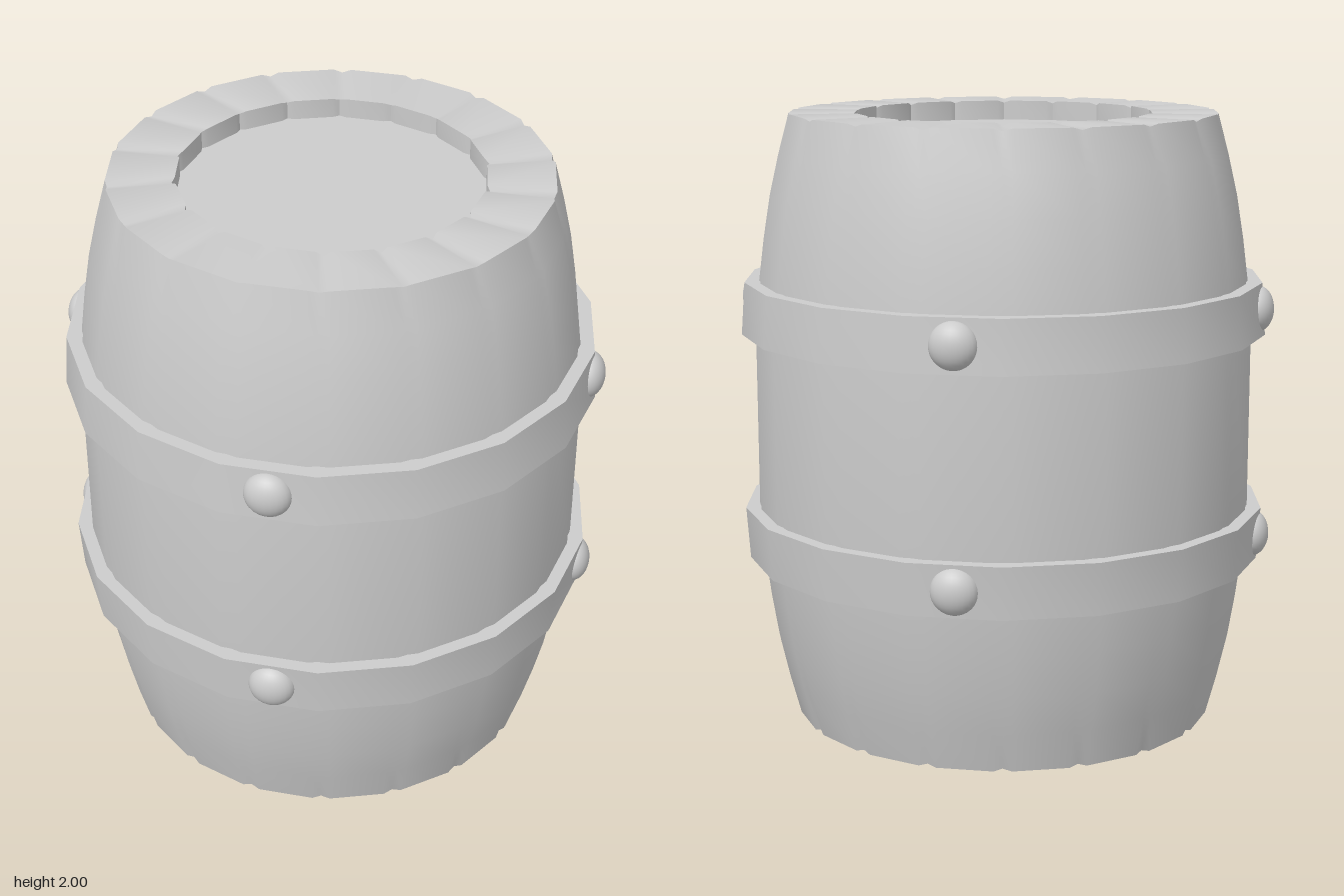
import * as THREE from 'three';
import { toCreasedNormals } from 'three/addons/utils/BufferGeometryUtils.js';

const SIDES = 18;
const STEP = (Math.PI * 2) / SIDES;
const material = new THREE.MeshStandardMaterial({ color: 0xcccccc });

function addMesh(parent, name, geometry) {
  const mesh = new THREE.Mesh(geometry, material);
  mesh.name = name;
  parent.add(mesh);
  return mesh;
}

const toPoints = (list) => list.map(([r, y]) => new THREE.Vector2(r, y));

// Flat-faced staves: three columns per stave, the first one sunk as a groove
function stavesGeometry() {
  const profile = toPoints([
    [0.485, 0.07], [0.485, 0], [0.7, 0], [0.735, 0.13], [0.765, 0.26], [0.788, 0.4], [0.806, 0.54],
    [0.82, 0.72], [0.82, 1.28],
    [0.806, 1.46], [0.788, 1.6], [0.765, 1.74], [0.735, 1.87], [0.7, 2], [0.485, 2], [0.485, 1.93],
  ]);
  const geometry = new THREE.LatheGeometry(profile, SIDES * 3);
  const position = geometry.attributes.position;
  const offsets = [0, 0.12, 0.88];
  for (let i = 0; i < position.count; i++) {
    const column = Math.floor(i / profile.length);
    const { x: radius, y } = profile[i % profile.length];
    const local = offsets[column % 3] * STEP;
    const angle = Math.PI / 2 + Math.floor(column / 3) * STEP + local;
    const groove = column % 3 === 0;
    const isHole = radius < 0.5;
    // keep columns on the straight side of the polygon
    let r = (radius * Math.cos(STEP / 2)) / Math.cos(local - STEP / 2);
    if (groove) r += isHole ? 0.008 : -0.01;
    const onRim = y === 0 || y === 2;
    const dip = groove && onRim ? Math.sign(1 - y) * 0.008 : 0;
    position.setXYZ(i, Math.sin(angle) * r, y + dip, Math.cos(angle) * r);
  }
  return toCreasedNormals(geometry, 0.9);
}

// Closed hoop section that follows the belly of the barrel
function hoopGeometry() {
  const section = toPoints([
    [0.79, -0.085], [0.862, -0.085], [0.85, 0.085], [0.79, 0.085], [0.79, -0.085],
  ]);
  return toCreasedNormals(new THREE.LatheGeometry(section, SIDES, Math.PI / 2), 0.6);
}

export function createModel() {
  const barrel = new THREE.Group();
  barrel.name = 'barrel';

  addMesh(barrel, 'staves', stavesGeometry());

  // Recessed heads
  const headGeometry = new THREE.CylinderGeometry(0.52, 0.52, 0.04, 36);
  addMesh(barrel, 'topHead', headGeometry).position.y = 1.915;
  addMesh(barrel, 'bottomHead', headGeometry).position.y = 0.085;

  // Two mirrored hoops, each with four domed rivets
  const hoop = hoopGeometry();
  const rivet = new THREE.SphereGeometry(0.075, 24, 16);
  for (const [prefix, y, flip] of [['upper', 1.375, 0], ['lower', 0.625, Math.PI]]) {
    const group = new THREE.Group();
    group.name = prefix + 'Hoop';
    group.position.y = y;
    barrel.add(group);
    addMesh(group, prefix + 'Band', hoop).rotation.x = flip;
    ['front', 'left', 'back', 'right'].forEach((side, i) => {
      const angle = (i * Math.PI) / 2;
      const mesh = addMesh(group, side + 'Rivet', rivet);
      mesh.position.set(Math.sin(angle) * 0.837, 0, Math.cos(angle) * 0.837);
      mesh.rotation.y = angle;
      mesh.scale.z = 0.7;
    });
  }
  return barrel;
}
